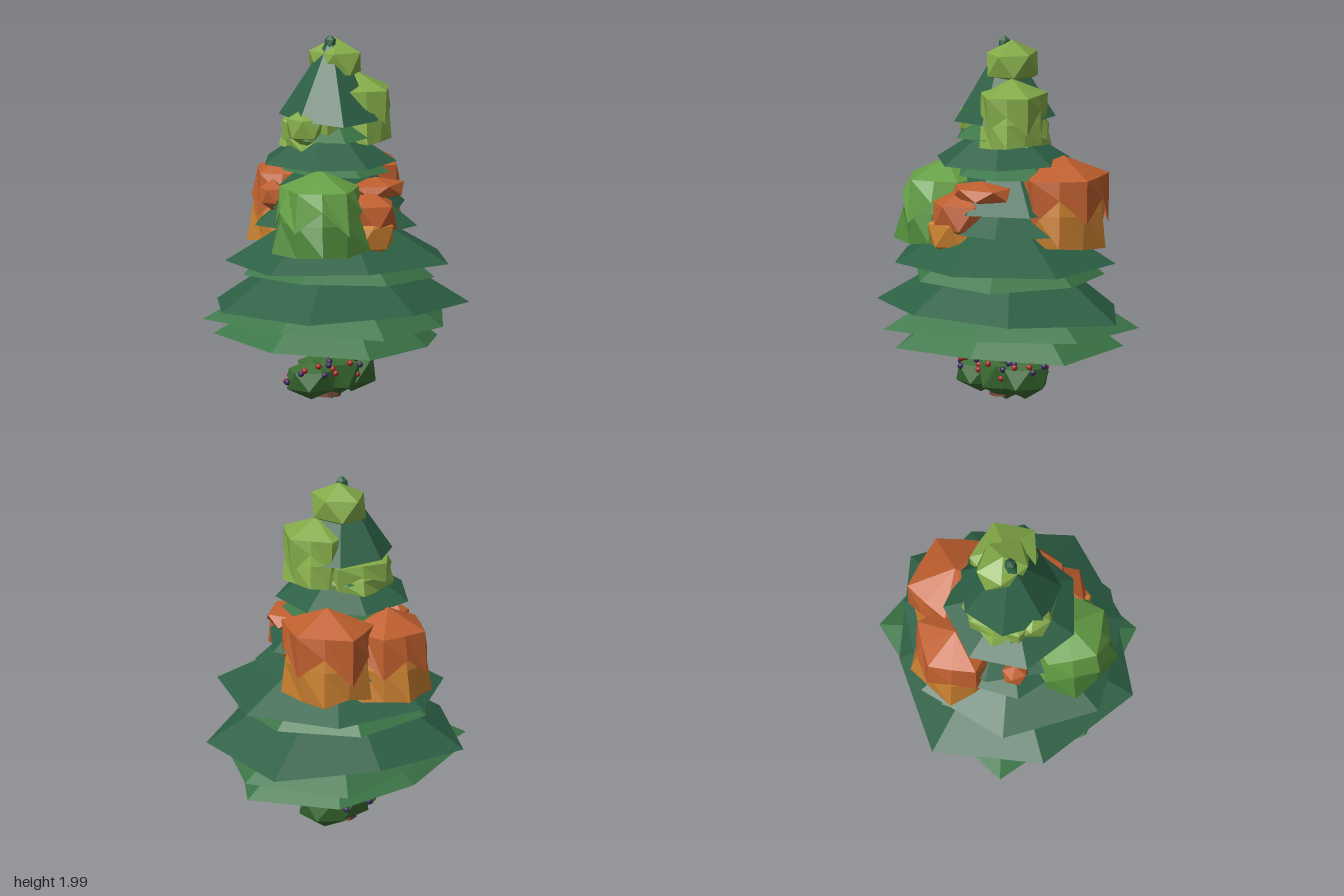
import * as THREE from 'three';

let seed = 7;
const rnd = () => (seed = (seed * 16807) % 2147483647) / 2147483647;
const jit = (a) => (rnd() - 0.5) * 2 * a;

const mats = {};
const mat = (color) => (mats[color] ??= new THREE.MeshStandardMaterial({ color, flatShading: true, side: THREE.DoubleSide }));

const PINE = 0x2d6045, PINE_LIGHT = 0x3c7648, ORANGE = 0xbf5f2e, AMBER = 0xc98030;
const LEAF = 0x659f45, LEAF_DARK = 0x508a3a, LIME = 0x83aa48, LIME_DARK = 0x8fb850;
const BUSH = 0x3a6b32, RED = 0xa52a26, PURPLE = 0x3c2660, BARK = 0x754c3a;

function add(parent, name, geometry, color, x = 0, y = 0, z = 0) {
  const mesh = new THREE.Mesh(geometry, mat(color));
  mesh.name = name;
  mesh.position.set(x, y, z);
  parent.add(mesh);
}

// Joins cross-section rings (top to bottom, equal point counts) into a faceted skin
function loft(rings) {
  const pos = [], n = rings[0].length;
  const tri = (...points) => points.forEach((p) => pos.push(p.x, p.y, p.z));
  for (let i = 0; i < rings.length - 1; i++) {
    const a = rings[i], b = rings[i + 1];
    for (let j = 0; j < n; j++) {
      const k = (j + 1) % n;
      if (a[j].distanceTo(a[k]) > 1e-5) tri(a[j], a[k], b[j]);
      if (b[j].distanceTo(b[k]) > 1e-5) tri(a[k], b[k], b[j]);
    }
  }
  const g = new THREE.BufferGeometry();
  g.setAttribute('position', new THREE.Float32BufferAttribute(pos, 3));
  g.computeVertexNormals();
  return g;
}

function ring(n, fn) {
  return Array.from({ length: n }, (_, j) => {
    const [r, y, a] = fn(j);
    return new THREE.Vector3(Math.cos(a) * r, y, Math.sin(a) * r);
  });
}

// Seven-sided bough skirt with a sheared rim; r is one radius or one per corner
function tier(parent, { y, r, h, x = -0.06, z = 0, phase = 0, tx = 0, tz = 0, light }) {
  const radii = [r].flat();
  const a = (j) => THREE.MathUtils.degToRad(phase) + (j / 7) * Math.PI * 2;
  const rim = ring(7, (j) => [radii[j % radii.length], jit(0.012), a(j)]);
  rim.forEach((p) => (p.y += p.x * tx + p.z * tz));
  const point = (py) => ring(7, (j) => [0, py, a(j)]);
  add(parent, 'boughTier', loft([point(h), rim, point(0.02)]), light ? PINE_LIGHT : PINE, x, y, z);
}

// Leafy clump: five-cornered cap with a wavy hem over a flared lower body
function clump(parent, name, { at, top, bottom, rx, rz, crown = 0.97, flare = 1, phase = 0, colors }) {
  const h = top - bottom, mid = (crown + flare) / 2;
  const a = (j) => phase + (j / 10) * Math.PI * 2;
  const corner = (j) => (j % 2 ? 0.83 : 1);
  const flat = (y) => ring(10, (j) => [0, y, a(j)]);
  const cap = loft([
    flat(h),
    ring(10, (j) => [crown * corner(j), h * 0.78, a(j)]),
    ring(10, (j) => [mid * (j % 2 ? 0.93 : 0.99), h * (j % 2 ? 0.55 : 0.28) + jit(h * 0.04), a(j)]),
  ]);
  const body = loft([
    ring(10, (j) => [crown * 0.8, h * 0.7, a(j)]),
    ring(10, (j) => [mid * 0.91, h * 0.4, a(j)]),
    ring(10, (j) => [corner(j + 1) * flare, h * 0.04 + jit(h * 0.04), a(j)]),
    flat(h * 0.1),
  ]);
  const g = new THREE.Group();
  g.name = name;
  g.position.set(at[0], bottom, at[1]);
  g.scale.set(rx, 1, rz);
  add(g, 'clumpCap', cap, colors[0]);
  add(g, 'clumpUnderside', body, colors[1]);
  parent.add(g);
}

// Faceted ball standing on a corner, stretched along each axis
function ball(parent, name, color, [x, y, z], [sx, sy, sz], turn = 0) {
  const g = new THREE.IcosahedronGeometry(1, 0).rotateZ(0.5536).rotateY(turn).scale(sx, sy, sz);
  add(parent, name, g, color, x, y, z);
}

export function createModel() {
  seed = 7;
  const tree = new THREE.Group();
  tree.name = 'tree';

  add(tree, 'trunk', new THREE.CylinderGeometry(0.05, 0.07, 0.6, 7), BARK, -0.1, 0.33, 0);

  // Bough tiers, bottom to top
  const boughs = new THREE.Group();
  boughs.name = 'boughs';
  tree.add(boughs);
  [
    { y: 0.335, r: [0.63, 0.53, 0.64, 0.61, 0.66, 0.52, 0.62], h: 0.42, x: -0.04, phase: 19, tx: -0.03, tz: -0.035, light: true },
    { y: 0.435, r: [0.68, 0.6, 0.73, 0.6, 0.73, 0.5, 0.69], h: 0.42, x: -0.03, phase: 15, tx: -0.025, tz: -0.01, light: true },
    { y: 0.52, r: [0.74, 0.72, 0.66, 0.74, 0.69, 0.7, 0.57], h: 0.46, x: -0.04, phase: -4, tx: -0.02, tz: 0.03 },
    { y: 0.7, r: 0.53, h: 0.42, x: -0.05, z: 0.02, phase: 5, tx: -0.02, light: true },
    { y: 0.78, r: [0.65, 0.6, 0.64, 0.6, 0.59, 0.62, 0.63], h: 0.36, x: -0.07, z: 0.03, phase: 70 },
    { y: 0.97, r: 0.45, h: 0.36, x: -0.05, phase: 5, tx: -0.02 },
    { y: 1.08, r: 0.4, h: 0.36, x: -0.05, phase: 30 },
    { y: 1.26, r: 0.3, h: 0.2, x: -0.04, phase: 10, light: true },
    { y: 1.32, r: 0.37, h: 0.24, x: -0.1, phase: 52 },
    { y: 1.45, r: 0.26, h: 0.2, x: -0.1, phase: 15, light: true },
    { y: 1.56, r: 0.28, h: 0.44, x: -0.08, phase: -30, tz: -0.08 },
  ].forEach((t) => tier(boughs, t));

  // Large leaf clumps around the middle
  const autumn = [ORANGE, AMBER], green = [LEAF, LEAF_DARK], lime = [LIME, LIME_DARK];
  clump(tree, 'greenClump', { at: [-0.36, 0.17], top: 1.32, bottom: 0.86, rx: 0.25, rz: 0.26, crown: 0.88, flare: 1.1, phase: 0.5, colors: green });
  clump(tree, 'rightOrangeClump', { at: [0.25, -0.11], top: 1.37, bottom: 0.87, rx: 0.24, rz: 0.28, flare: 0.95, phase: 0.2, colors: autumn });
  clump(tree, 'backOrangeClump', { at: [-0.02, -0.33], top: 1.33, bottom: 0.83, rx: 0.25, rz: 0.24, crown: 0.9, phase: 0.8, colors: autumn });

  // Small orange leaves in front and at the side
  ball(tree, 'frontOrangeLeaf', ORANGE, [-0.12, 1.05, 0.31], [0.17, 0.15, 0.17], 0.4);
  ball(tree, 'frontAmberLeaf', AMBER, [-0.15, 0.95, 0.35], [0.15, 0.13, 0.13], 0.9);
  ball(tree, 'frontOrangeRidge', ORANGE, [-0.01, 1.18, 0.26], [0.2, 0.065, 0.15], 0.1);
  ball(tree, 'sideOrangeLeaf', ORANGE, [-0.35, 1.14, -0.18], [0.075, 0.085, 0.08], 0.3);

  // Yellow-green clumps near the top
  clump(tree, 'upperLimeClump', { at: [0.05, 0.08], top: 1.79, bottom: 1.41, rx: 0.19, rz: 0.21, flare: 0.9, phase: 0.3, colors: lime });
  clump(tree, 'backLimeClump', { at: [-0.1, -0.05], top: 1.6, bottom: 1.38, rx: 0.25, rz: 0.24, flare: 0.95, phase: 1.0, colors: lime });
  ball(tree, 'leftLimeLeaf', LIME, [-0.29, 1.52, 0.0], [0.1, 0.11, 0.12], 0.5);
  ball(tree, 'crownLimeLeaf', LIME, [-0.035, 1.85, -0.01], [0.145, 0.13, 0.175], 0.6);
  ball(tree, 'treeTip', PINE, [-0.085, 1.955, 0.0], [0.035, 0.045, 0.035]);

  // Berry bush at the foot
  const bush = new THREE.Group();
  bush.name = 'berryBush';
  tree.add(bush);
  const lumps = [
    [[-0.25, 0.14, 0.01], [0.15, 0.11, 0.15]],
    [[-0.07, 0.15, 0], [0.17, 0.14, 0.17]],
    [[0.08, 0.15, 0.01], [0.125, 0.12, 0.16]],
    [[-0.02, 0.25, 0], [0.09, 0.09, 0.12]],
    [[-0.16, 0.19, -0.02], [0.11, 0.08, 0.13]],
  ];
  lumps.forEach(([c, s], i) => ball(bush, 'bushLump', BUSH, c, s, i * 0.7));
  for (let i = 0; i < 36; i++) {
    const [c, s] = lumps[i % 3];
    const a = i * 2.4, up = -0.1 + rnd() * 0.9, w = Math.sqrt(1 - up * up) * 0.92;
    const p = [c[0] + Math.cos(a) * w * s[0], c[1] + up * s[1], c[2] + Math.sin(a) * w * s[2]];
    add(bush, 'berry', new THREE.IcosahedronGeometry(0.017, 1), i % 2 ? RED : PURPLE, ...p);
  }
  return tree;
}
